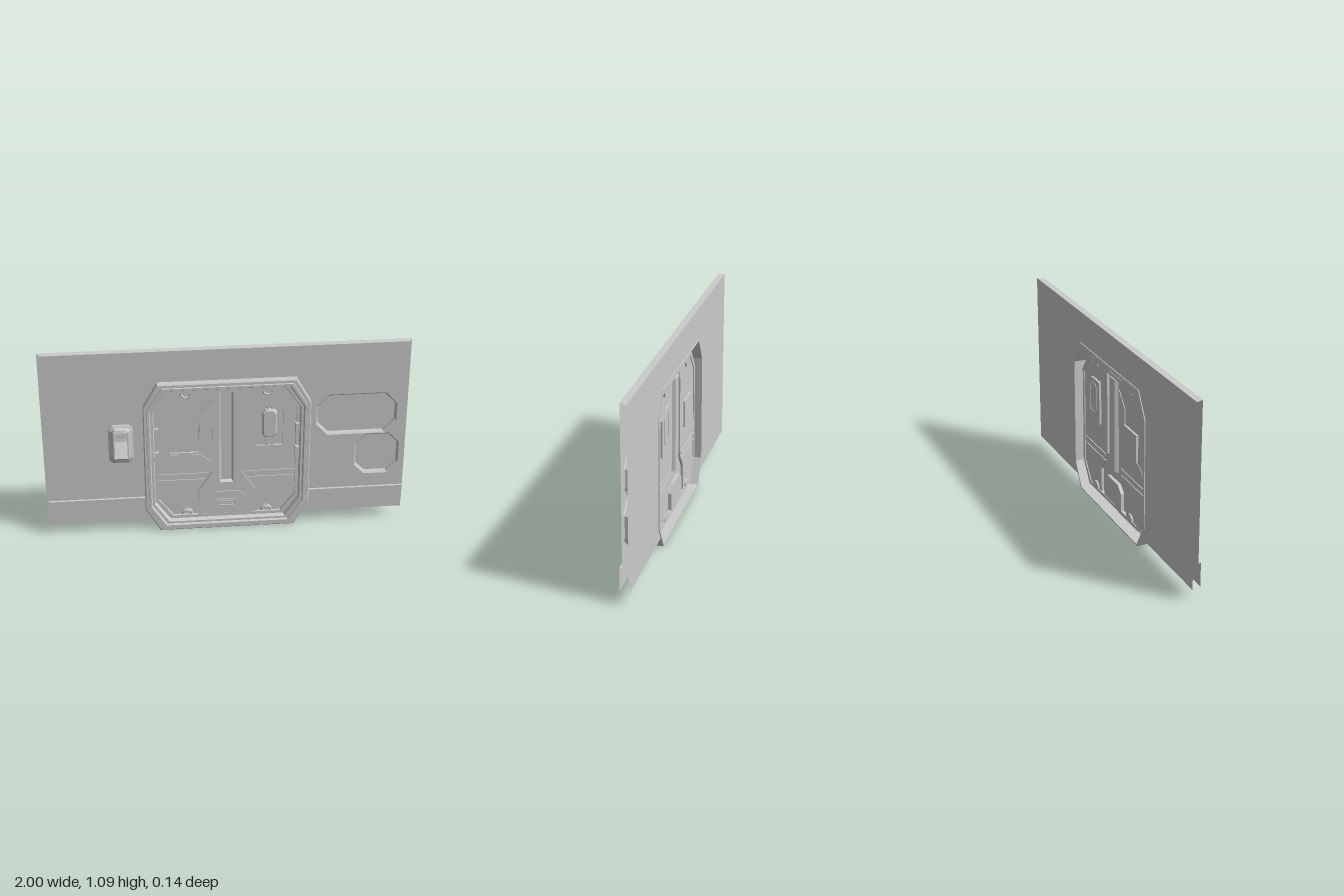
import * as THREE from 'three';

const grey = new THREE.MeshStandardMaterial({ color: 0xcccccc, flatShading: true, side: THREE.DoubleSide });

export function createModel() {
  const root = new THREE.Group();
  const add = (name, geo, parent = root) => {
    const m = new THREE.Mesh(geo, grey);
    m.name = name;
    parent.add(m);
    return m;
  };
  const group = (name) => {
    const g = new THREE.Group();
    g.name = name;
    root.add(g);
    return g;
  };
  const toShape = (pts, holes = []) => {
    const s = new THREE.Shape(pts.map(p => new THREE.Vector2(...p)));
    for (const h of holes) s.holes.push(new THREE.Path(h.map(p => new THREE.Vector2(...p))));
    return s;
  };
  // flat sheet at a given depth
  const sheet = (pts, z, holes) => new THREE.ShapeGeometry(toShape(pts, holes)).translate(0, 0, z);
  // solid slab between two depths
  const slab = (pts, z0, z1, holes) =>
    new THREE.ExtrudeGeometry(toShape(pts, holes), { depth: z1 - z0, bevelEnabled: false }).translate(0, 0, z0);
  // skin through closed rings, each ring being [points, z]
  const loft = (rings) => {
    const v = [];
    for (let r = 0; r + 1 < rings.length; r++) {
      const [A, za] = rings[r], [B, zb] = rings[r + 1], n = A.length;
      for (let i = 0; i < n; i++) {
        const j = (i + 1) % n;
        const a = [...A[i], za], b = [...A[j], za], c = [...B[j], zb], d = [...B[i], zb];
        v.push(...a, ...b, ...c, ...a, ...c, ...d);
      }
    }
    const g = new THREE.BufferGeometry();
    g.setAttribute('position', new THREE.Float32BufferAttribute(v, 3));
    g.computeVertexNormals();
    return g;
  };
  const rect = (x0, x1, y0, y1) => [[x0, y0], [x1, y0], [x1, y1], [x0, y1]];
  // rectangle with cut corners
  const octagon = (x0, x1, y0, y1, cx, cy = cx) => [
    [x0 + cx, y0], [x1 - cx, y0], [x1, y0 + cy], [x1, y1 - cy],
    [x1 - cx, y1], [x0 + cx, y1], [x0, y1 - cy], [x0, y0 + cy]];
  const mirror = (pts) => pts.map(([x, y]) => [-x, y]).reverse();

  // Wall: front skin, back skin, top cap, lower trim; the ends stay open
  const wall = group('wall');
  const W = 0.985, FZ = -0.027, BZ = -0.065, TZ = -0.013;
  const arch = [[-0.455, 0.77], [-0.375, 0.91], [0.375, 0.91], [0.455, 0.77]];
  const upperBay = octagon(0.49, 0.935, 0.542, 0.79, 0.065, 0.07);
  const lowerBay = octagon(0.71, 0.958, 0.285, 0.538, 0.06);
  add('wallFront', sheet([[-W, 0.205], [-0.455, 0.205], ...arch, [0.455, 0.205], [W, 0.205], [W, 1.09], [-W, 1.09]],
    FZ, [upperBay, lowerBay]), wall);
  add('wallBack', sheet([[-1, 0.07], [-0.415, 0.07], [-0.455, 0.14], ...arch, [0.455, 0.14], [0.415, 0.07],
    [1, 0.07], [1, 1.09], [-1, 1.09]], BZ), wall);
  add('wallTop', sheet([[-1, BZ], [1, BZ], [W, FZ], [-W, FZ]], 0).rotateX(Math.PI / 2).translate(0, 1.09, 0), wall);
  const trim = [[0.415, 0.07], [W, 0.07], [W, 0.205], [0.455, 0.205], [0.455, 0.14]];
  for (const s of [1, -1]) {
    add('lowerTrim', sheet(s > 0 ? trim : mirror(trim), TZ), wall);
    add('trimLedge', new THREE.PlaneGeometry(0.53, 0.014).rotateX(-Math.PI / 2).translate(s * 0.72, 0.205, -0.02), wall);
  }

  // Recessed bays in the wall
  const shrink = (pts, d) => {
    const xs = pts.map(p => p[0]), ys = pts.map(p => p[1]);
    const x0 = Math.min(...xs), x1 = Math.max(...xs), y0 = Math.min(...ys), y1 = Math.max(...ys);
    const cx = (x0 + x1) / 2, cy = (y0 + y1) / 2;
    return pts.map(([x, y]) => [cx + (x - cx) * (1 - 2 * d / (x1 - x0)), cy + (y - cy) * (1 - 2 * d / (y1 - y0))]);
  };
  for (const [name, bay] of [['upperBay', upperBay], ['lowerBay', lowerBay]]) {
    const floor = shrink(bay, 0.007);
    add(name + 'Walls', loft([[bay, FZ], [floor, FZ - 0.006], [floor, -0.06]]), wall);
    add(name + 'Floor', sheet(floor, -0.06), wall);
  }

  // Hatch frame: stepped octagonal ring, open at the back
  const frame = group('hatchFrame');
  const ring = (d) => octagon(-0.455 + d, 0.455 - d, d, 0.91 - d, 0.08, 0.14 - 0.45 * d);
  const profile = [[0, -0.07], [0, 0.006], [0.005, 0.01], [0.02, 0.01], [0.022, 0.016], [0.034, 0.016],
    [0.04, 0.006], [0.052, 0.006], [0.058, -0.02], [0.075, -0.02], [0.075, -0.04], [0.055, -0.04]];
  add('frameRing', loft(profile.map(([d, z]) => [ring(d), z])), frame);
  add('frameBackLip', loft([[ring(0), -0.07], [ring(0.008), -0.07], [ring(0.008), 0]]), frame);

  // Hatch door: two side leaves, central column and fittings
  const door = group('hatchDoor');
  const DZ = -0.035;
  const leaf = [[0.08, 0.84], [0.08, 0.345], [0.16, 0.22], [0.16, 0.075], [0.31, 0.075], [0.39, 0.19],
    [0.39, 0.72], [0.31, 0.84]];
  const plate = [[0.16, 0.49], [0.31, 0.49], [0.31, 0.7], [0.27, 0.74], [0.16, 0.74]];
  const pad = rect(-0.31, -0.155, 0.465, 0.62);
  add('rightLeaf', sheet(mirror(leaf), DZ, [pad]), door);
  add('leftLeaf', sheet(leaf, DZ, [plate]), door);
  for (const [name, pts, depth] of [['squareRecess', pad, 0.012], ['fittingRecess', plate, 0.012]]) {
    add(name + 'Walls', loft([[pts, DZ], [pts, DZ - depth]]), door);
    add(name + 'Floor', sheet(pts, DZ - depth), door);
  }
  for (const s of [1, -1]) {
    // cross ribs
    for (const [y, h] of [[0.33, 0.012], [0.295, 0.006]])
      add('crossRib', new THREE.BoxGeometry(0.28, h, 0.01).translate(s * 0.245, y, DZ), door);
    // round stops at top and bottom
    for (const [y, a] of [[0.838, Math.PI], [0.08, 0]]) {
      add('roundStop', new THREE.CylinderGeometry(0.033, 0.033, 0.02, 12, 1, false, 0, Math.PI)
        .rotateX(Math.PI / 2).rotateZ(a + Math.PI / 2).translate(s * 0.222, y, DZ), door);
      add('stopRim', new THREE.TorusGeometry(0.026, 0.006, 4, 10, Math.PI)
        .rotateZ(a).translate(s * 0.222, y, DZ + 0.012), door);
    }
    // side latches
    for (const y of [0.6, 0.455])
      add('sideLatch', new THREE.BoxGeometry(0.022, 0.07, 0.03).translate(s * 0.386, y, -0.018), door);
  }
  // raised flanks around the square recess
  add('sideFlank', slab([[-0.08, 0.41], [-0.08, 0.79], [-0.15, 0.71], [-0.15, 0.48]], DZ - 0.004, DZ + 0.008), door);
  add('lowerFlank', slab([[-0.385, 0.345], [-0.08, 0.345], [-0.08, 0.405], [-0.15, 0.455], [-0.19, 0.455],
    [-0.21, 0.47], [-0.25, 0.47], [-0.27, 0.455], [-0.31, 0.455], [-0.385, 0.41]], DZ - 0.003, DZ + 0.005), door);

  // Central column with a long slot and a flared foot
  const CZ = DZ + 0.013;
  const slot = rect(-0.04, 0.036, 0.275, 0.838);
  const column = [[-0.16, 0.075], [0.16, 0.075], [0.16, 0.22], [0.08, 0.345], [0.08, 0.84],
    [-0.08, 0.84], [-0.08, 0.345], [-0.16, 0.22]];
  add('columnFace', sheet(column, CZ, [slot]), door);
  add('columnSides', loft([[column, DZ], [column, CZ]]), door);
  add('slotWalls', loft([[slot, CZ], [shrink(slot, 0.008), DZ - 0.008]]), door);
  add('slotFloor', sheet(shrink(slot, 0.008), DZ - 0.008), door);
  const housing = [[-0.11, 0.078], [0.11, 0.078], [0.11, 0.18], [0.068, 0.22], [-0.068, 0.22], [-0.11, 0.18]];
  add('handleHousing', slab(housing, DZ - 0.006, CZ + 0.006), door);
  add('handleRim', slab(rect(-0.06, 0.055, 0.125, 0.172), CZ, CZ + 0.012, [rect(-0.048, 0.043, 0.135, 0.162)]), door);
  add('handleBar', new THREE.BoxGeometry(0.075, 0.014, 0.012).translate(-0.003, 0.155, CZ + 0.01), door);

  // Fitting with pins in the angled recess
  const body = octagon(0.195, 0.275, 0.545, 0.715, 0.018);
  add('fittingBody', loft([[body, -0.05], [body, -0.028], [shrink(body, 0.008), -0.02]]), door);
  add('fittingCap', sheet(shrink(body, 0.008), -0.02), door);
  for (const x of [0.222, 0.248]) {
    add('upperPin', new THREE.BoxGeometry(0.009, 0.03, 0.012).translate(x, 0.727, -0.038), door);
    add('lowerPin', new THREE.BoxGeometry(0.012, 0.058, 0.012).translate(x, 0.519, -0.038), door);
  }

  // Rocker switch on the wall
  const sw = group('rockerSwitch');
  const base = octagon(-0.645, -0.51, 0.435, 0.665, 0.022);
  const top = octagon(-0.622, -0.533, 0.46, 0.65, 0.014);
  const well = octagon(-0.614, -0.541, 0.485, 0.65 - 0.008, 0.006);
  add('switchBase', loft([[base, FZ], [base, -0.016], [shrink(base, 0.012), -0.01], [top, 0.0], [top, 0.014],
    [shrink(top, 0.003), 0.017], [well, 0.017], [well, 0.004]]), sw);
  add('switchWell', sheet(well, 0.004), sw);
  const rocker = [[-0.004, 0.635], [-0.012, 0.635], [-0.02, 0.585], [-0.07, 0.507], [-0.062, 0.492], [-0.004, 0.502]];
  add('rocker', slab(rocker, -0.034, 0.034).rotateY(Math.PI / 2).rotateY(Math.PI)
    .scale(1, 1, -1).translate(-0.578, 0, 0), sw);
  const rk = sw.children[sw.children.length - 1];
  rk.geometry.computeBoundingBox();
  if (rk.geometry.boundingBox.max.z < 0.03) rk.geometry.scale(1, 1, -1);
  add('rockerRidge', new THREE.BoxGeometry(0.05, 0.03, 0.006).translate(-0.578, 0.615, 0.014), sw);

  return root;
}
